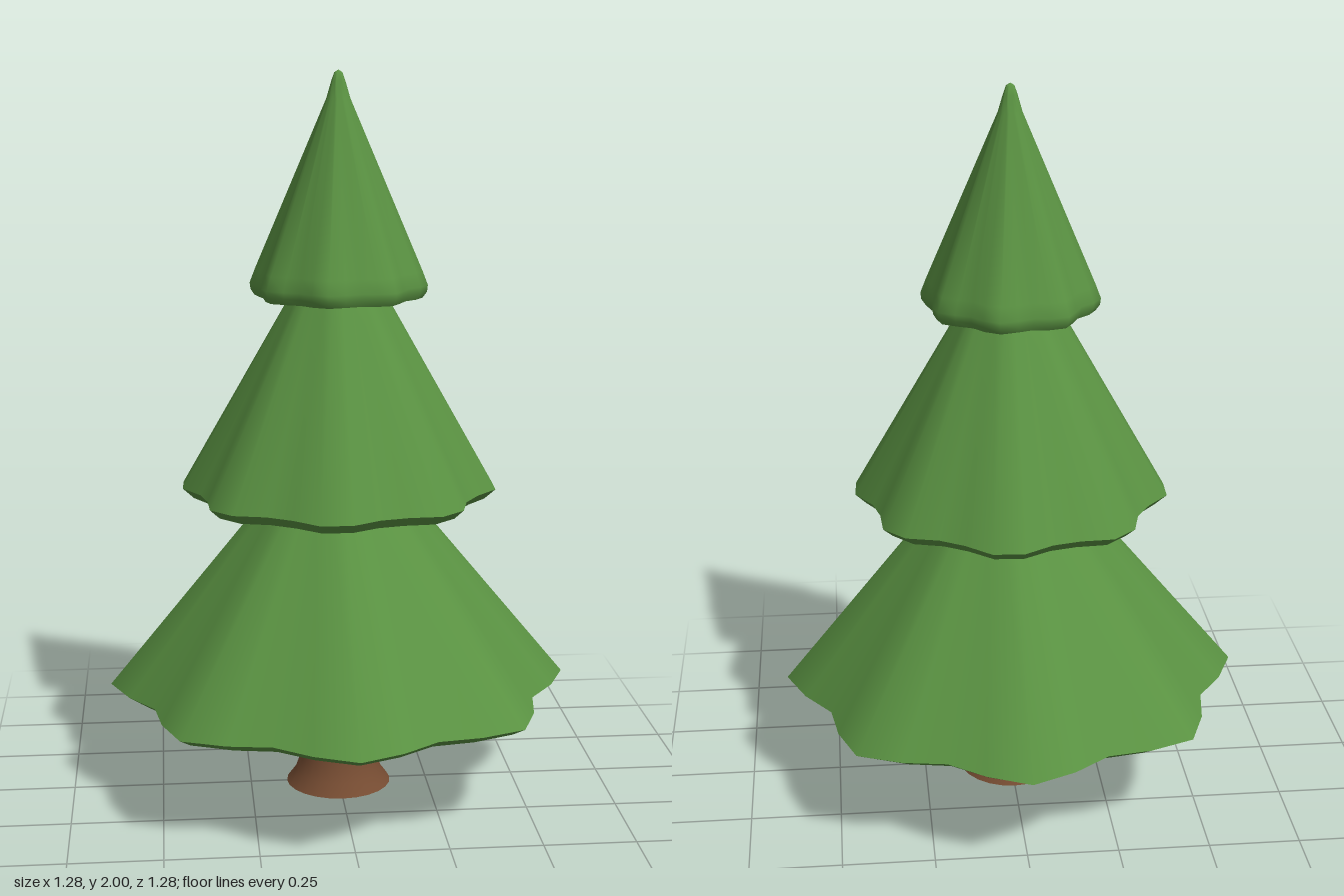
import * as THREE from 'three';
import { toCreasedNormals } from 'three/addons/utils/BufferGeometryUtils.js';

const material = (name, color) => {
  const m = new THREE.MeshStandardMaterial({ color });
  m.name = name;
  return m;
};

// Spin a profile of [radius, y] points, listed from the bottom up
function lathe(points, segments) {
  return new THREE.LatheGeometry(points.map(([r, y]) => new THREE.Vector2(r, y)), segments);
}

// Scallop a spun tier into eight lobes that fade towards its axis
function scallop(geo, rimRadius, phase) {
  const pos = geo.attributes.position;
  for (let i = 0; i < pos.count; i++) {
    const x = pos.getX(i), z = pos.getZ(i);
    const depth = 0.067 * Math.hypot(x, z) / rimRadius;
    const k = 1 + depth * Math.cos(8 * Math.atan2(x, z) + phase);
    pos.setXYZ(i, x * k, pos.getY(i), z * k);
  }
  return geo;
}

export function createModel() {
  const tree = new THREE.Group();
  tree.name = 'pineTree';
  const foliage = material('needleGreen', 0x5a9242);
  const shade = material('undersideGreen', 0x305a2e);
  const bark = material('barkBrown', 0x764c32);
  const darkBark = material('darkBarkBrown', 0x543520);

  const add = (name, geo, mat) => {
    const mesh = new THREE.Mesh(toCreasedNormals(geo, 0.95), mat);
    mesh.name = name;
    tree.add(mesh);
  };

  // Trunk with a flared foot and a dark cut end
  add('trunk', lathe([
    [0.147, 0], [0.122, 0.034], [0.107, 0.08], [0.098, 0.13], [0.098, 0.45],
  ], 24), bark);
  add('trunkBase', lathe([[0, 0], [0.147, 0]], 24), darkBark);

  // Branch tiers: thin rim and sloping cone, closed by a hollowed dark underside
  const tiers = [
    { name: 'lowerBranches', phase: 0, rim: 0.6, hollow: 0.365, profile: [
      [0.565, 0.284], [0.6, 0.307], [0.199, 0.835], [0, 1.07]] },
    { name: 'middleBranches', phase: 0.9, rim: 0.413, hollow: 0.925, profile: [
      [0.385, 0.84], [0.413, 0.867], [0.131, 1.395], [0, 1.62]] },
    { name: 'topBranches', phase: 1.8, rim: 0.228, hollow: 1.475, profile: [
      [0.216, 1.396], [0.226, 1.412], [0.228, 1.43], [0.215, 1.468],
      [0.032, 1.925], [0.019, 1.97], [0.011, 1.993], [0, 2]] },
  ];
  for (const { name, phase, rim, hollow, profile } of tiers) {
    add(name, scallop(lathe(profile, 32), rim, phase), foliage);
    add(name + 'Underside', scallop(lathe([[0, hollow], profile[0]], 32), rim, phase), shade);
  }
  return tree;
}
